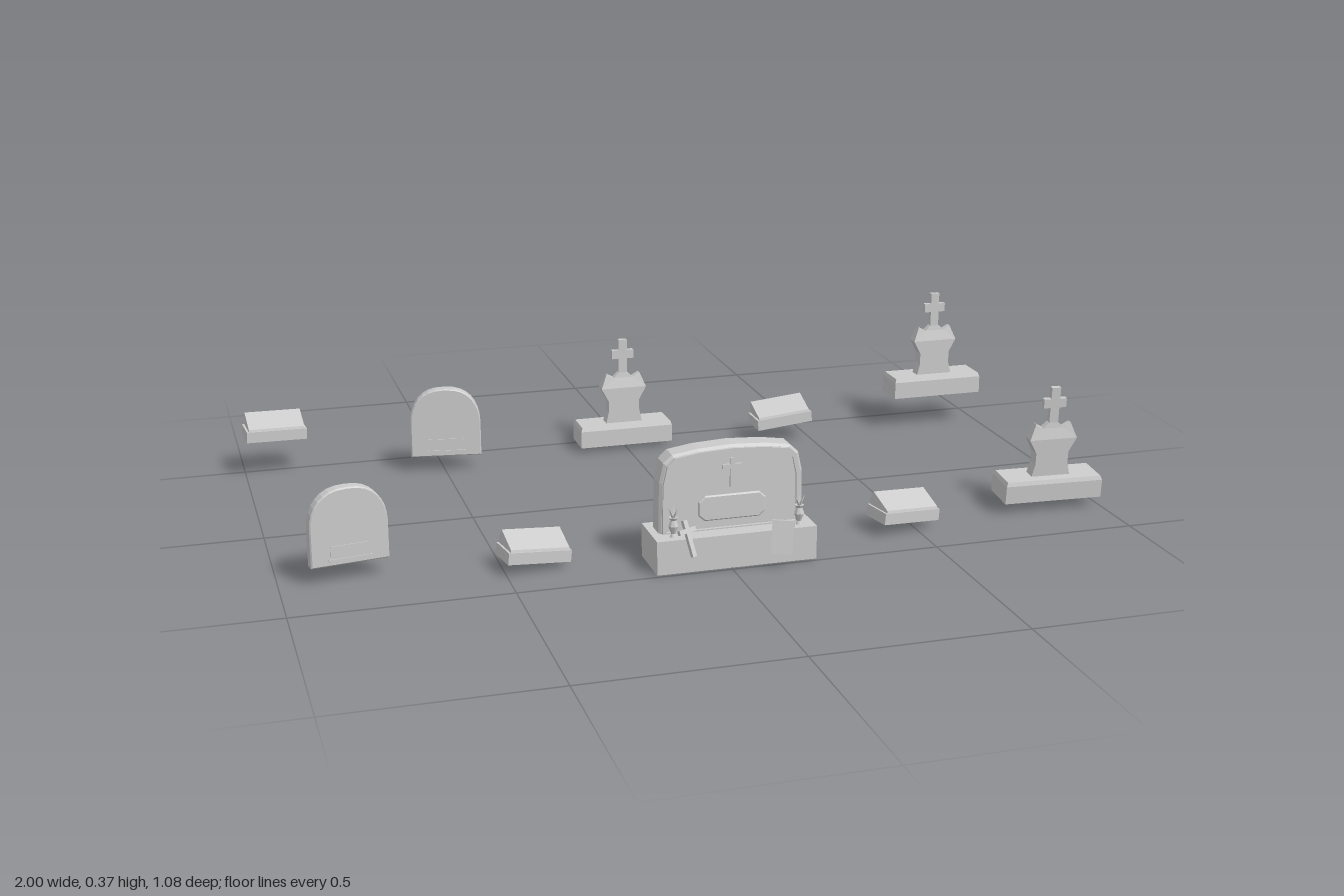
import * as THREE from 'three';

const stone = new THREE.MeshStandardMaterial({ color: 0xcccccc, flatShading: true, side: THREE.DoubleSide });

function add(parent, name, geometry, x = 0, y = 0, z = 0) {
  const mesh = new THREE.Mesh(geometry, stone);
  mesh.name = name;
  mesh.position.set(x, y, z);
  parent.add(mesh);
  return mesh;
}

const box = (w, h, d) => new THREE.BoxGeometry(w, h, d);

// Closed outline mirrored from right-hand points listed bottom to top
function mirrored(points) {
  const left = points.filter(p => p[0] > 0).map(([x, y]) => [-x, y]).reverse();
  return new THREE.Shape([...points, ...left].map(p => new THREE.Vector2(...p)));
}

// Extrusion centred on z = 0, bevel kept inside the given depth
function slab(shape, depth, bevel = 0) {
  const geometry = new THREE.ExtrudeGeometry(shape, {
    depth: depth - 2 * bevel, bevelEnabled: bevel > 0, bevelThickness: bevel,
    bevelSize: bevel, bevelOffset: -bevel, bevelSegments: 1, curveSegments: 8,
  });
  return geometry.translate(0, 0, -depth / 2 + bevel);
}

// Box whose top is scaled in x and z
function taperedBox(w, h, d, sx, sz) {
  const g = box(w, h, d), p = g.attributes.position;
  for (let i = 0; i < p.count; i++) {
    if (p.getY(i) > 0) p.setXYZ(i, p.getX(i) * sx, p.getY(i), p.getZ(i) * sz);
  }
  g.computeVertexNormals();
  return g;
}

// Round-topped upright stone with a small plaque
function headstone() {
  const g = new THREE.Group();
  const outline = [[0.09, 0], [0.09, 0.09]];
  for (let i = 1; i <= 8; i++) {
    const a = (i / 8) * Math.PI / 2;
    outline.push([0.09 * Math.pow(Math.cos(a), 0.8), 0.09 + 0.09 * Math.sin(a)]);
  }
  outline[outline.length - 1][0] = 0;
  add(g, 'archedStone', slab(mirrored(outline), 0.03, 0.003));
  add(g, 'plaque', box(0.09, 0.03, 0.003), 0, 0.032, 0.0155);
  add(g, 'plaqueLedge', box(0.1, 0.006, 0.006), 0, 0.014, 0.016);
  return g;
}

// Plinth, flared pedestal and cross
function crossMonument() {
  const g = new THREE.Group();
  add(g, 'plinth', box(0.25, 0.045, 0.09), 0, 0.0225);
  add(g, 'plinthTop', taperedBox(0.25, 0.01, 0.09, 0.97, 0.92), 0, 0.05);
  const body = mirrored([[0.05, 0.053], [0.042, 0.085], [0.042, 0.115], [0.061, 0.15]]);
  add(g, 'pedestal', slab(body, 0.032));
  // Shoulders thin out towards the foot of the cross
  const shoulders = slab(mirrored([[0.061, 0.15], [0.045, 0.188], [0.026, 0.177], [0.013, 0.19]]), 0.032);
  const p = shoulders.attributes.position;
  for (let i = 0; i < p.count; i++) {
    const t = THREE.MathUtils.clamp((p.getY(i) - 0.15) / 0.035, 0, 1);
    p.setZ(i, p.getZ(i) * (1 - 0.58 * t));
  }
  shoulders.computeVertexNormals();
  add(g, 'shoulders', shoulders);
  add(g, 'crossPost', box(0.023, 0.1, 0.013), 0, 0.23);
  add(g, 'crossArms', box(0.058, 0.023, 0.013), 0, 0.24);
  return g;
}

// Low grave marker: a flat block with a sloping tablet
function lowMarker() {
  const g = new THREE.Group();
  add(g, 'markerBase', box(0.153, 0.028, 0.08), 0, 0.014);
  const wedge = new THREE.Shape();
  wedge.moveTo(0.038, 0.026);
  wedge.lineTo(0.036, 0.034);
  wedge.lineTo(-0.028, 0.062);
  wedge.lineTo(-0.04, 0.04);
  wedge.lineTo(-0.036, 0.026);
  wedge.closePath();
  add(g, 'slopingTablet', slab(wedge, 0.142).rotateY(-Math.PI / 2));
  return g;
}

// Small urn with a few leaves
function flowerVase() {
  const g = new THREE.Group();
  const profile = [[0, 0], [0.009, 0], [0.005, 0.008], [0.012, 0.026], [0.007, 0.04], [0.011, 0.046], [0, 0.044]];
  add(g, 'vase', new THREE.LatheGeometry(profile.map(p => new THREE.Vector2(...p)), 8));
  for (let i = 0; i < 5; i++) {
    const a = i * Math.PI * 0.4;
    const leaf = add(g, 'leaf', new THREE.ConeGeometry(0.004, 0.03, 4), Math.cos(a) * 0.007, 0.057, Math.sin(a) * 0.007);
    leaf.rotation.set(Math.sin(a) * 0.5, 0, -Math.cos(a) * 0.5);
  }
  return g;
}

// Large family stone with frame, plaque and offerings
function largeMemorial() {
  const g = new THREE.Group();
  add(g, 'memorialBase', box(0.38, 0.08, 0.13), 0, 0.04, 0);
  const half = [[0.172, 0.075], [0.17, 0.2], [0.16, 0.245], [0.14, 0.264], [0.08, 0.273], [0, 0.277]];
  add(g, 'memorialStone', slab(mirrored(half), 0.056, 0.006), 0, 0, -0.012);
  const frame = mirrored(half.map(([x, y]) => [x * 0.96, 0.075 + (y - 0.075) * 0.97]));
  frame.holes.push(mirrored(half.map(([x, y]) => [x * 0.9, 0.083 + (y - 0.075) * 0.9])));
  add(g, 'raisedFrame', slab(frame, 0.008), 0, 0, 0.019);
  const plaque = mirrored([[0.065, 0.102], [0.08, 0.115], [0.08, 0.148], [0.065, 0.162]]);
  add(g, 'plaque', slab(plaque, 0.008, 0.003), 0, 0, 0.019);
  add(g, 'reliefCrossPost', box(0.01, 0.07, 0.007), 0, 0.213, 0.018);
  add(g, 'reliefCrossArms', box(0.046, 0.01, 0.007), 0, 0.228, 0.018);

  for (const x of [-0.145, 0.155]) {
    const vase = flowerVase();
    vase.name = 'flowerVase';
    vase.position.set(x, 0.08, 0.04);
    g.add(vase);
  }
  // Small cross and tablet leaning on the base
  const cross = new THREE.Group();
  cross.name = 'leaningCross';
  add(cross, 'smallPost', box(0.011, 0.085, 0.009));
  add(cross, 'smallArms', box(0.046, 0.011, 0.009), 0, 0.018);
  cross.position.set(-0.117, 0.083, 0.069);
  cross.rotation.set(-0.4, 0.35, 0.2);
  g.add(cross);
  const tablet = add(g, 'leaningTablet', box(0.05, 0.077, 0.016), 0.098, 0.072, 0.092);
  tablet.rotation.set(-0.25, -0.4, -0.12);
  return g;
}

export function createModel() {
  const model = new THREE.Group();
  model.name = 'graveyard';
  // name, builder, position, rotation
  const layout = [
    ['largeMemorial', largeMemorial, [0.015, 0, 0.425], [0, 0, 0]],
    ['headstoneFront', headstone, [-0.84, 0.042, 0.314], [0, 0.15, 0]],
    ['headstoneBack', headstone, [-0.495, 0.04, -0.378], [0, -0.15, 0]],
    ['crossBackMiddle', crossMonument, [-0.002, 0.012, -0.453], [0, 0, 0]],
    ['crossBackLeft', crossMonument, [0.875, 0.086, -0.415], [0, 0, 0]],
    ['crossFrontLeft', crossMonument, [0.875, 0.028, 0.303], [0.07, -0.045, 0]],
    ['markerFrontRight', lowMarker, [-0.43, 0.022, 0.358], [0, 0.16, -0.11]],
    ['markerFrontLeft', lowMarker, [0.472, 0.026, 0.358], [0, 0.19, -0.08]],
    ['markerBackLeft', lowMarker, [0.424, 0.045, -0.387], [0, 0, 0.1]],
    ['markerBackRight', lowMarker, [-0.92, 0.091, -0.495], [0, 0.07, -0.03]],
  ];
  for (const [name, build, position, rotation] of layout) {
    const part = build();
    part.name = name;
    part.position.set(...position);
    part.rotation.set(...rotation);
    model.add(part);
  }
  return model;
}
